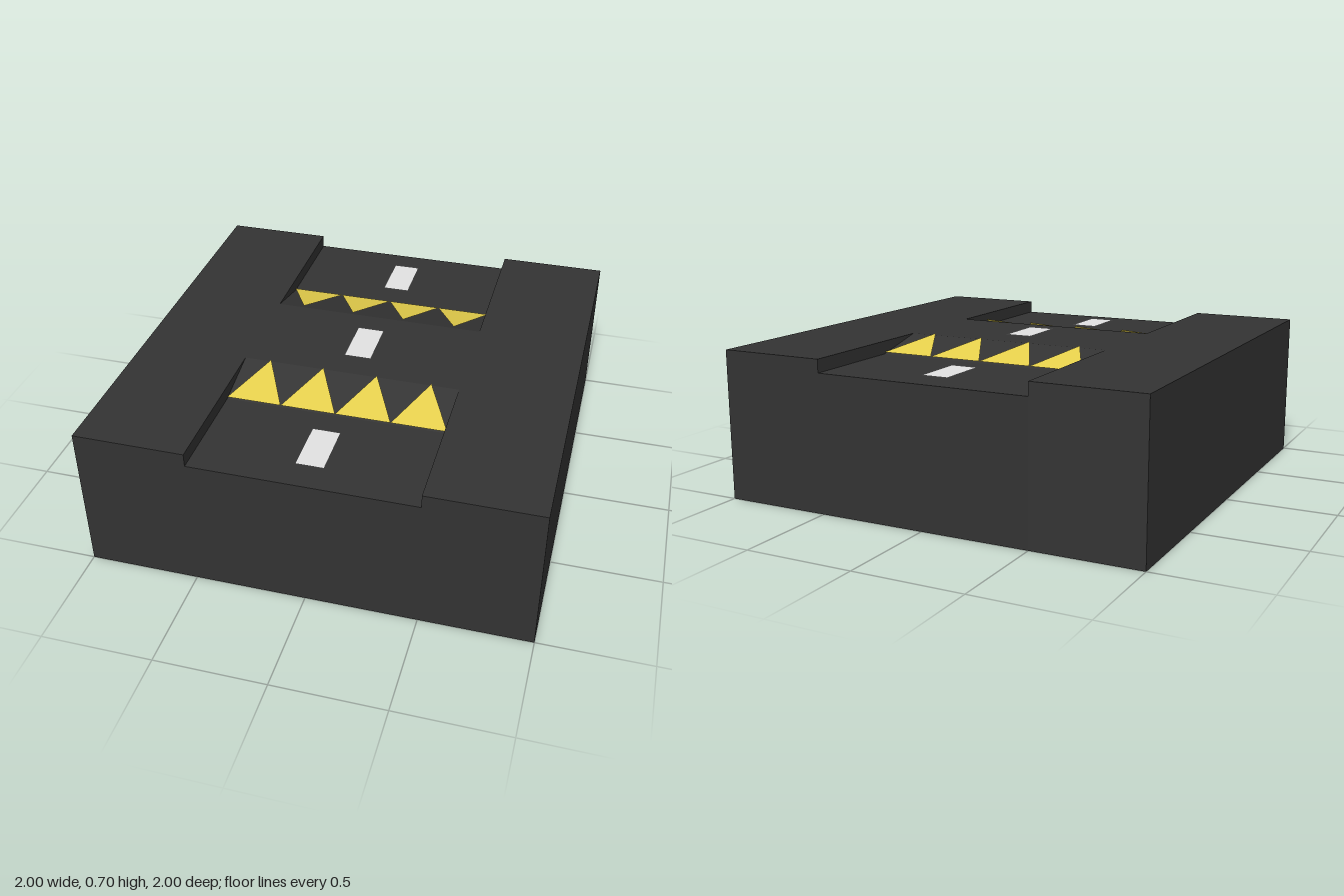
import * as THREE from 'three';

const asphalt = new THREE.MeshStandardMaterial({ color: 0x333333, name: 'asphalt' });
const yellow = new THREE.MeshStandardMaterial({ color: 0xe6d04c, name: 'yellow paint', side: THREE.DoubleSide });
const white = new THREE.MeshStandardMaterial({ color: 0xe2e2e2, name: 'white paint', side: THREE.DoubleSide });

const TOP = 0.688;    // raised level
const ROAD = 0.628;   // sunken road level
const LIFT = 0.009;   // paint height above the surface

export function createModel() {
  const group = new THREE.Group();
  const add = (name, geometry, material, parent = group) => {
    const mesh = new THREE.Mesh(geometry, material);
    mesh.name = name;
    parent.add(mesh);
    return mesh;
  };

  // Raised kerb blocks on both sides
  for (const [name, x] of [['leftKerb', 0.75], ['rightKerb', -0.75]]) {
    add(name, new THREE.BoxGeometry(0.5, TOP, 2), asphalt).position.set(x, TOP / 2, 0);
  }

  // Sunken road with a flat-topped speed hump, swept across the width
  const profile = new THREE.Shape([
    [-1, 0], [1, 0], [1, ROAD], [0.5, ROAD], [0.25, TOP],
    [-0.25, TOP], [-0.5, ROAD], [-1, ROAD],
  ].map(([z, y]) => new THREE.Vector2(z, y)));
  const road = new THREE.ExtrudeGeometry(profile, { depth: 1, bevelEnabled: false });
  road.rotateY(Math.PI / 2).translate(-0.5, 0, 0);
  add('roadWithHump', road, asphalt);

  // Yellow warning triangles on the two ramps
  for (const [name, turn] of [['frontTriangles', 0], ['backTriangles', Math.PI]]) {
    const row = new THREE.Group();
    row.name = name;
    row.rotation.y = turn;
    group.add(row);
    for (let i = 0; i < 4; i++) {
      const x = -0.5 + i * 0.25;
      const triangle = new THREE.BufferGeometry().setFromPoints([
        new THREE.Vector3(x, ROAD + LIFT, 0.5),
        new THREE.Vector3(x + 0.25, ROAD + LIFT, 0.5),
        new THREE.Vector3(x + 0.125, TOP + LIFT, 0.25),
      ]);
      triangle.computeVertexNormals();
      add('warningTriangle', triangle, yellow, row);
    }
  }

  // White centre-line dashes
  for (const [z, y] of [[-0.75, ROAD], [0, TOP], [0.75, ROAD]]) {
    const dash = new THREE.PlaneGeometry(0.125, 0.25).rotateX(-Math.PI / 2);
    add('centreDash', dash, white).position.set(0, y + LIFT, z);
  }

  return group;
}
